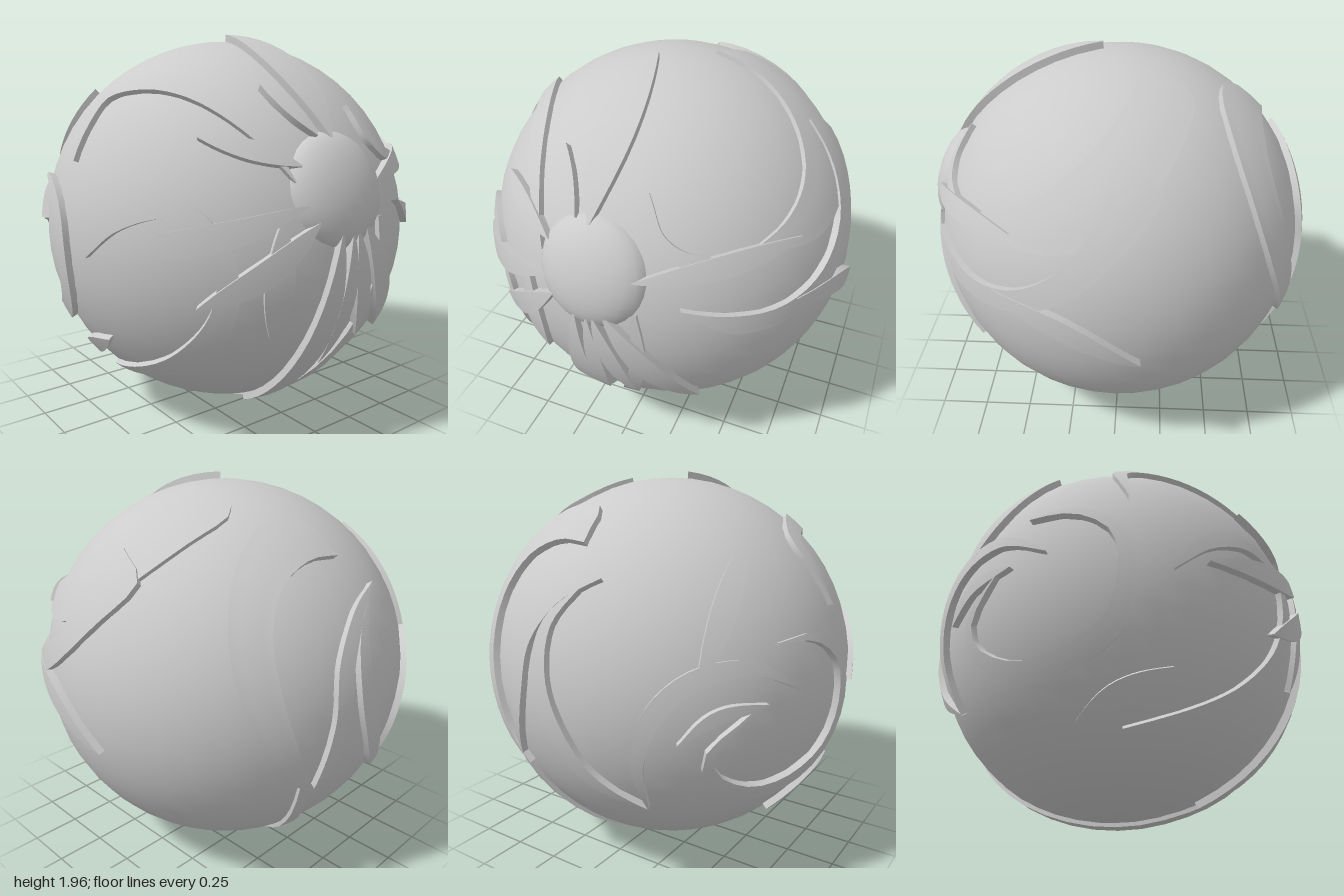
import * as THREE from 'three';
import { toCreasedNormals } from 'three/addons/utils/BufferGeometryUtils.js';

const R = 0.955;          // ball radius
const CY = 0.99;          // ball centre height
const material = new THREE.MeshStandardMaterial({ color: 0xcccccc, side: THREE.DoubleSide });

// A chart is a flat drawing plane facing a heading and elevation (degrees);
// the points drawn on it are projected onto the ball.
function chart(heading, elevation) {
  const a = THREE.MathUtils.degToRad(heading), e = THREE.MathUtils.degToRad(elevation);
  const right = new THREE.Vector3(Math.cos(a), 0, -Math.sin(a));
  const out = new THREE.Vector3(Math.sin(a) * Math.cos(e), Math.sin(e), Math.cos(a) * Math.cos(e));
  const up = new THREE.Vector3().crossVectors(out, right);
  return pts => pts.map(([s, t]) => new THREE.Vector3()
    .addScaledVector(right, s).addScaledVector(up, t)
    .addScaledVector(out, Math.sqrt(Math.max(0, R * R - s * s - t * t))).normalize());
}
const frontAt = chart(0, 0);
const front = pts => frontAt(pts.map(([x, y]) => [x, y - CY]));
const side = chart(90, 0);
const frontSide = chart(35, 25);
const back = chart(215, 25);
const under = chart(145, -29);

// Raised plate between two edges, with walls sinking into the ball
function plate(edgeA, edgeB, lift) {
  const pos = [], index = [], cols = 7, rows = edgeA.length;
  for (let i = 0; i < rows; i++) {
    for (let j = 0; j < cols; j++) {
      const f = THREE.MathUtils.clamp((j - 1) / (cols - 3), 0, 1);
      const wall = j === 0 || j === cols - 1;
      const p = edgeA[i].clone().lerp(edgeB[i], f).setLength(wall ? R - 0.03 : R + lift);
      pos.push(p.x, p.y, p.z);
      if (i && j) {
        const d = i * cols + j, c = d - 1, b = d - cols, a = b - 1;
        index.push(a, c, b, b, c, d);
      }
    }
  }
  const g = new THREE.BufferGeometry();
  g.setAttribute('position', new THREE.Float32BufferAttribute(pos, 3));
  g.setIndex(index);
  return toCreasedNormals(g, 0.6);
}

const smooth = (pts, n) => new THREE.CatmullRomCurve3(pts, false, 'centripetal').getSpacedPoints(n);

// Crescent given by its two edges
const crescent = (inner, outer, lift = 0.025) => plate(smooth(inner, 24), smooth(outer, 24), lift);

// Leaf given by its centre line and greatest width; blunt keeps the width along its length
function leaf(pts, width, lift = 0.025, blunt = false) {
  const n = pts.length > 3 ? 24 : 14;
  const line = smooth(pts, n).map(p => p.normalize());
  const a = [], b = [];
  line.forEach((p, i) => {
    const along = line[Math.min(i + 1, n)].clone().sub(line[Math.max(i - 1, 0)]);
    const across = along.cross(p).normalize();
    const shape = Math.max(0.03, Math.sin(Math.PI * i / n));
    const half = width / 2 / R * Math.pow(shape, blunt ? 0.3 : 0.85);
    a.push(p.clone().addScaledVector(across, -half));
    b.push(p.clone().addScaledVector(across, half));
  });
  return plate(a, b, lift);
}

export function createModel() {
  const model = new THREE.Group();
  model.name = 'ornamentBall';
  const body = new THREE.Group();
  body.name = 'ballAndReliefs';
  body.position.y = CY;
  model.add(body);
  const add = (name, geometry) => {
    const mesh = new THREE.Mesh(geometry, material);
    mesh.name = name;
    body.add(mesh);
    return mesh;
  };

  add('ball', new THREE.SphereGeometry(R, 40, 28));

  // Flower centre: flattened dome lying on the ball
  const normal = new THREE.Vector3(-0.04, 0.28, 0.91).normalize();
  const dome = add('flowerCentre', new THREE.SphereGeometry(1, 24, 16));
  dome.scale.set(0.27, 0.27, 0.13);
  dome.quaternion.setFromUnitVectors(new THREE.Vector3(0, 0, 1), normal);
  dome.position.copy(normal).multiplyScalar(0.89);

  // Petals: centre line and width
  const petals = [
    [[[-0.05, 1.47], [-0.05, 1.74], [-0.05, 1.94]], 0.19],
    [[[-0.12, 1.48], [-0.2, 1.6], [-0.26, 1.69]], 0.06],
    [[[-0.24, 1.36], [-0.42, 1.43], [-0.58, 1.48]], 0.09],
    [[[-0.25, 1.2], [-0.55, 1.1], [-0.88, 1.01]], 0.12],
    [[[-0.2, 1.13], [-0.43, 0.93], [-0.65, 0.78]], 0.12],
    [[[-0.09, 1.08], [-0.12, 0.55], [-0.15, 0.12]], 0.13],
    [[[-0.03, 1.08], [-0.02, 0.75], [-0.04, 0.43]], 0.08],
    [[[0.0, 1.08], [0.07, 0.8], [0.13, 0.55]], 0.09],
    [[[0.05, 1.1], [0.24, 0.78], [0.41, 0.5]], 0.13],
    [[[0.17, 1.28], [0.48, 1.34], [0.76, 1.37]], 0.1],
  ];
  for (const [pts, width] of petals) add('petal', leaf(front(pts), width, 0.035));

  // Stem running down, under the ball and up the back
  add('stem', leaf([
    ...front([[0.18, 1.12], [0.2, 0.85], [0.13, 0.6], [0.03, 0.32], [-0.06, 0.09]]),
    ...[[-0.04, -0.95, 0.12], [0.06, -0.88, -0.37], [0.2, -0.67, -0.64], [0.34, -0.3, -0.83]]
      .map(p => new THREE.Vector3(...p).normalize()),
  ], 0.09, 0.02, true));

  // Nested crescents, hook and leaf on the +x side
  add('largeCrescent', crescent(
    frontSide([[0.2, 0.84], [0.37, 0.7], [0.46, 0.48], [0.44, 0.26], [0.32, 0.1], [0.11, -0.02]]),
    frontSide([[0.2, 0.84], [0.43, 0.81], [0.6, 0.65], [0.71, 0.37], [0.67, 0.13], [0.48, -0.02], [0.11, -0.02]]), 0.02));
  add('lowerCrescent', crescent(
    frontSide([[0.55, 0.48], [0.63, 0.26], [0.62, 0.02], [0.48, -0.19], [0.26, -0.29], [0, -0.28], [-0.19, -0.23]]),
    frontSide([[0.55, 0.48], [0.71, 0.43], [0.75, 0.16], [0.65, -0.14], [0.43, -0.33], [0.05, -0.38], [-0.19, -0.23]]), 0.03));
  add('hookLeaf', leaf(front([[0.17, 1.61], [0.24, 1.46], [0.34, 1.39], [0.52, 1.36]]), 0.07));
  add('sideLeaf', leaf(side([[-0.53, 0.11], [-0.2, 0], [0.13, -0.18]]), 0.11, 0.035));

  // Scrolls and leaves around the back
  add('backCrescent', crescent(
    under([[0.4, 0.85], [0.25, 0.89], [0.1, 0.87], [0.04, 0.78], [0.07, 0.6], [0.14, 0.41], [0.2, 0.24], [0.28, 0.07]]),
    under([[0.4, 0.85], [0.26, 0.92], [0.07, 0.95], [-0.09, 0.9], [-0.14, 0.76], [-0.09, 0.57], [0.04, 0.35], [0.18, 0.16], [0.28, 0.07]]), 0.03));
  const backLeaves = [
    ['curledLeaf', [[-0.31, 0.17], [-0.51, 0.11], [-0.66, -0.04], [-0.71, -0.26], [-0.72, -0.53]], 0.09],
    ['longScroll', [[-0.4, 0.14], [-0.55, 0], [-0.59, -0.24], [-0.51, -0.48], [-0.38, -0.65], [-0.12, -0.79]], 0.1],
    ['archScroll', [[-0.12, -0.79], [-0.17, -0.58], [-0.09, -0.39], [0.08, -0.26], [0.32, -0.21], [0.54, -0.28]], 0.09],
    ['smallLeaf', [[0, -0.52], [0.16, -0.41], [0.39, -0.35]], 0.06],
    ['spiralScroll', [[0.43, -0.1], [0.62, -0.05], [0.76, -0.11], [0.79, -0.29], [0.72, -0.5],
      [0.54, -0.66], [0.32, -0.72], [0.15, -0.65], [0.14, -0.56], [0.32, -0.38]], 0.1],
    ['straightLeaf', [[0.3, 0.37], [0.2, 0.03], [0.08, -0.3]], 0.11],
    ['lowLeaf', [[0.45, -0.81], [0.62, -0.7], [0.79, -0.53]], 0.1],
  ];
  for (const [name, pts, width] of backLeaves) add(name, leaf(back(pts), width, 0.03));

  // Scrolls springing from the flower toward -x
  const frontLeaves = [
    ['archingScroll', [[-0.28, 1.3], [-0.38, 1.51], [-0.5, 1.68], [-0.6, 1.71], [-0.7, 1.66], [-0.8, 1.52], [-0.88, 1.36]], 0.11],
    ['hookScroll', [[-0.93, 0.95], [-0.87, 1.12], [-0.75, 1.2], [-0.65, 1.16], [-0.55, 1.02]], 0.09],
    ['trailingScroll', [[-0.66, 1.2], [-0.58, 1.05], [-0.56, 0.75], [-0.62, 0.5], [-0.7, 0.31]], 0.12],
    ['droopingLeaf', [[-0.36, 1.15], [-0.37, 0.88], [-0.36, 0.62]], 0.13],
  ];
  for (const [name, pts, width] of frontLeaves) add(name, leaf(front(pts), width, 0.025));

  return model;
}
